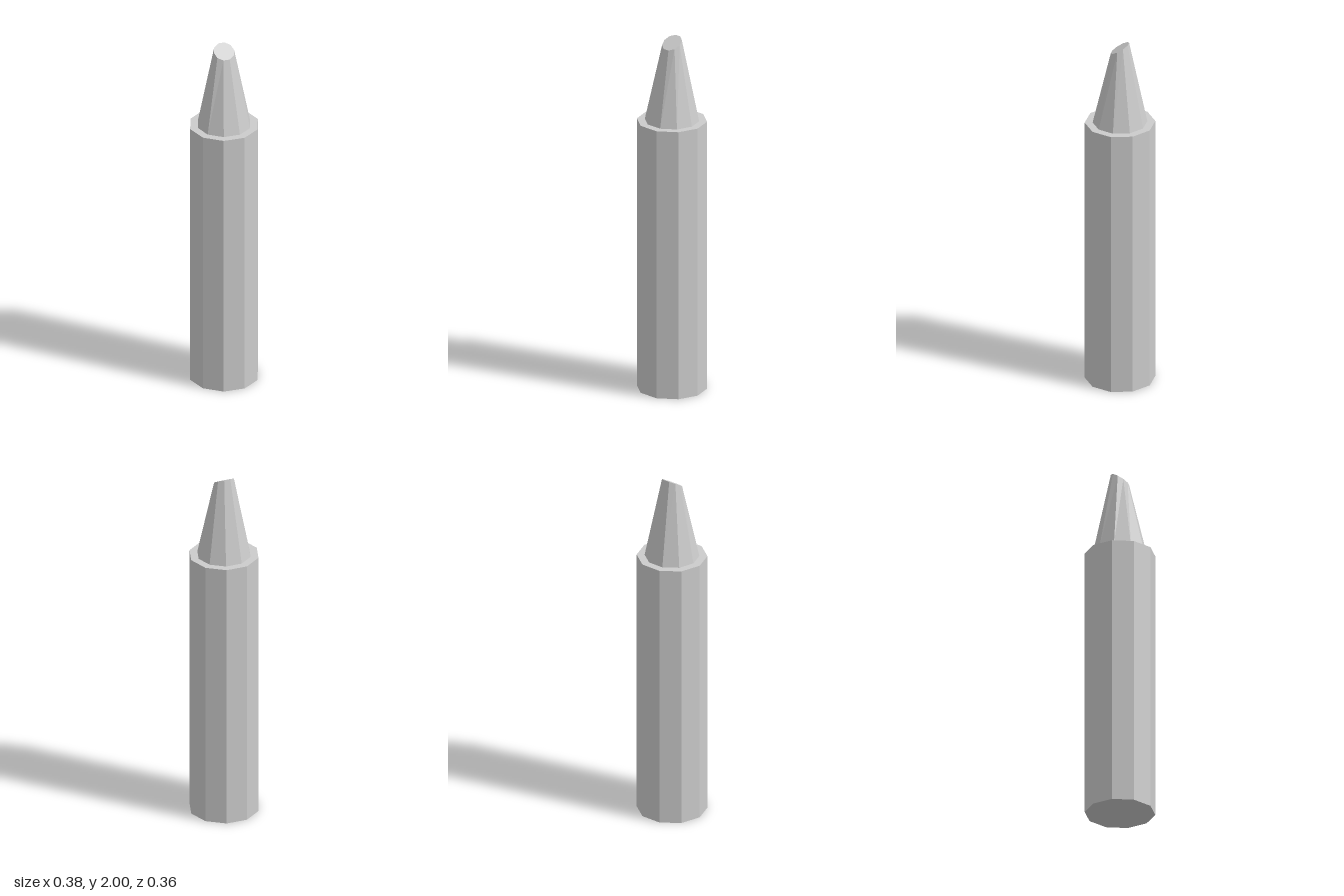
import * as THREE from 'three';

const SIDES = 10;
const BODY_TOP = 1.53;
const TIP_TOP = 1.973;

// Ten-sided prism or frustum standing on y = bottom, with corners on the x axis
function decagonGeometry(topRadius, bottomRadius, bottom, top) {
  const height = top - bottom;
  return new THREE.CylinderGeometry(topRadius, bottomRadius, height, SIDES, 1, false, Math.PI / 2)
    .translate(0, bottom + height / 2, 0);
}

export function createModel() {
  const group = new THREE.Group();
  group.name = 'crayon';
  const material = new THREE.MeshStandardMaterial({ color: 0xcccccc, flatShading: true });

  // Long faceted barrel
  const body = new THREE.Mesh(decagonGeometry(0.19, 0.19, 0, BODY_TOP), material);
  body.name = 'body';
  group.add(body);

  // Tapered tip whose end disc is tilted towards the front
  const tipGeometry = decagonGeometry(0.057, 0.147, BODY_TOP, TIP_TOP);
  const tilt = 0.55;
  const position = tipGeometry.attributes.position;
  for (let i = 0; i < position.count; i++) {
    if (position.getY(i) < TIP_TOP - 0.01) continue;
    const z = position.getZ(i);
    position.setY(i, TIP_TOP - z * Math.sin(tilt));
    position.setZ(i, z * Math.cos(tilt));
  }
  tipGeometry.computeVertexNormals();
  const tip = new THREE.Mesh(tipGeometry, material);
  tip.name = 'tip';
  group.add(tip);

  return group;
}
